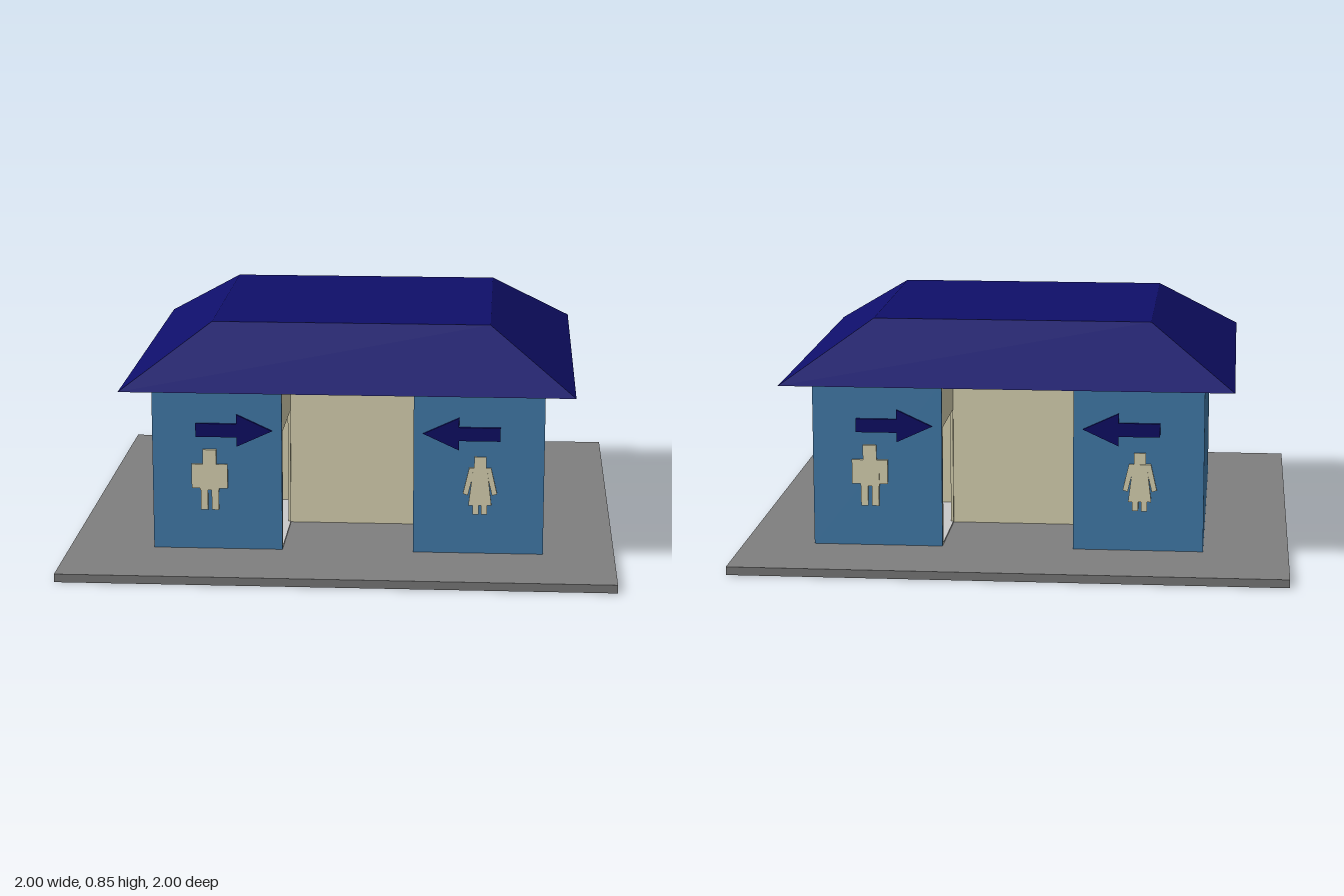
import * as THREE from 'three';

const mat = (color) => new THREE.MeshStandardMaterial({ color, flatShading: true });

export function createModel() {
  const model = new THREE.Group();
  model.name = 'publicRestroom';
  const blue = mat(0x4682b4), navy = mat(0x0f0f6a), beige = mat(0xe6e0bd);
  const stone = mat(0x808080), plain = mat(0xcccccc);

  // box given by its min and max corners
  const box = (parent, name, m, x0, x1, y0, y1, z0, z1) => {
    const mesh = new THREE.Mesh(new THREE.BoxGeometry(x1 - x0, y1 - y0, z1 - z0), m);
    mesh.position.set((x0 + x1) / 2, (y0 + y1) / 2, (z0 + z1) / 2);
    mesh.name = name;
    parent.add(mesh);
    return mesh;
  };
  // flat plate extruded from an outline, standing on the outer wall face
  const plate = (parent, name, m, points, depth) => {
    const shape = new THREE.Shape(points.map(([x, y]) => new THREE.Vector2(x, y)));
    const mesh = new THREE.Mesh(new THREE.ExtrudeGeometry(shape, { depth, bevelEnabled: false }), m);
    mesh.position.z = 0.65;
    mesh.name = name;
    parent.add(mesh);
  };

  box(model, 'groundSlab', stone, -1, 1, 0, 0.03, -1, 1);

  // the building sits slightly off the slab's centre; x is local from here on
  const building = new THREE.Group();
  building.name = 'building';
  building.position.x = 0.025;
  model.add(building);
  const Y0 = 0.03, Y1 = 0.64, W = 0.715, D = 0.65, E = 0.24, L = 0.29;

  // hipped roof with a flat top
  const roofGeo = new THREE.CylinderGeometry(0.623 * Math.SQRT1_2, Math.SQRT1_2, 0.205, 4);
  roofGeo.rotateY(Math.PI / 4);
  roofGeo.scale(1.645, 1, 1.5);
  const roof = new THREE.Mesh(roofGeo, navy);
  roof.position.y = 0.7425;
  roof.name = 'roof';
  building.add(roof);

  // side walls, floors and benches
  for (const s of [-1, 1]) {
    const side = new THREE.Group();
    side.name = s < 0 ? 'rightRooms' : 'leftRooms';
    if (s < 0) side.rotation.y = Math.PI;
    building.add(side);
    box(side, 'sideWall', blue, W - 0.01, W, Y0, Y1, -D, D);
    box(side, 'roomFloor', plain, E, W - 0.01, Y0, 0.036, -D + 0.01, D - 0.01);
    box(side, 'bench', plain, 0.505, W - 0.01, 0.036, 0.175, -D + 0.01, D - 0.01);
  }
  box(building, 'dividingWall', beige, -W + 0.01, W - 0.01, Y0, Y1, -0.005, 0.005);

  // one entrance end, repeated with a half turn
  for (const turn of [0, Math.PI]) {
    const end = new THREE.Group();
    end.name = turn ? 'backEntrance' : 'frontEntrance';
    end.rotation.y = turn;
    building.add(end);

    box(end, 'lobbyWall', beige, -E, E, Y0, Y1, L - 0.01, L);
    for (const s of [-1, 1]) {
      const xs = (a, b) => [Math.min(s * a, s * b), Math.max(s * a, s * b)];
      box(end, 'entranceWall', blue, ...xs(E, W), Y0, Y1, D - 0.01, D);
      // doorway from the lobby into the room
      const [a, b] = xs(E, E + 0.01);
      box(end, 'doorLintel', beige, a, b, 0.47, Y1, L - 0.01, D - 0.01);
      box(end, 'doorJamb', beige, a, b, Y0, 0.47, D - 0.03, D - 0.01);
      box(end, 'doorJamb', beige, a, b, Y0, 0.47, L - 0.01, L + 0.01);
      // arrow pointing to the lobby
      const arrow = [[0.555, 0.455], [0.555, 0.505], [0.405, 0.505], [0.405, 0.54],
        [0.275, 0.48], [0.405, 0.42], [0.405, 0.455]];
      plate(end, 'arrow', navy, arrow.map(([x, y]) => [s * x, y]), 0.01);
    }

    // man sign
    const man = new THREE.Group();
    man.name = 'manSign';
    man.position.x = -0.505;
    end.add(man);
    box(man, 'head', beige, -0.025, 0.025, 0.35, 0.407, D, 0.66);
    box(man, 'torso', beige, -0.035, 0.035, 0.255, 0.352, D, 0.662);
    for (const s of [-1, 1]) {
      box(man, 'arm', beige, s * 0.05 - 0.016, s * 0.05 + 0.016, 0.262, 0.352, D, 0.66);
      box(man, 'leg', beige, s * 0.02 - 0.013, s * 0.02 + 0.013, 0.18, 0.257, D, 0.66);
    }

    // woman sign
    const woman = new THREE.Group();
    woman.name = 'womanSign';
    woman.position.x = 0.483;
    end.add(woman);
    box(woman, 'head', beige, -0.022, 0.022, 0.352, 0.395, D, 0.66);
    plate(woman, 'dress', beige, [[-0.042, 0.215], [0.042, 0.215], [0.025, 0.354], [-0.025, 0.354]], 0.012);
    for (const s of [-1, 1]) {
      const arm = [[0.02, 0.354], [0.04, 0.354], [0.062, 0.258], [0.044, 0.252]];
      plate(woman, 'arm', beige, arm.map(([x, y]) => [s * x, y]), 0.01);
      box(woman, 'leg', beige, s * 0.016 - 0.011, s * 0.016 + 0.011, 0.18, 0.217, D, 0.66);
    }
  }
  return model;
}
